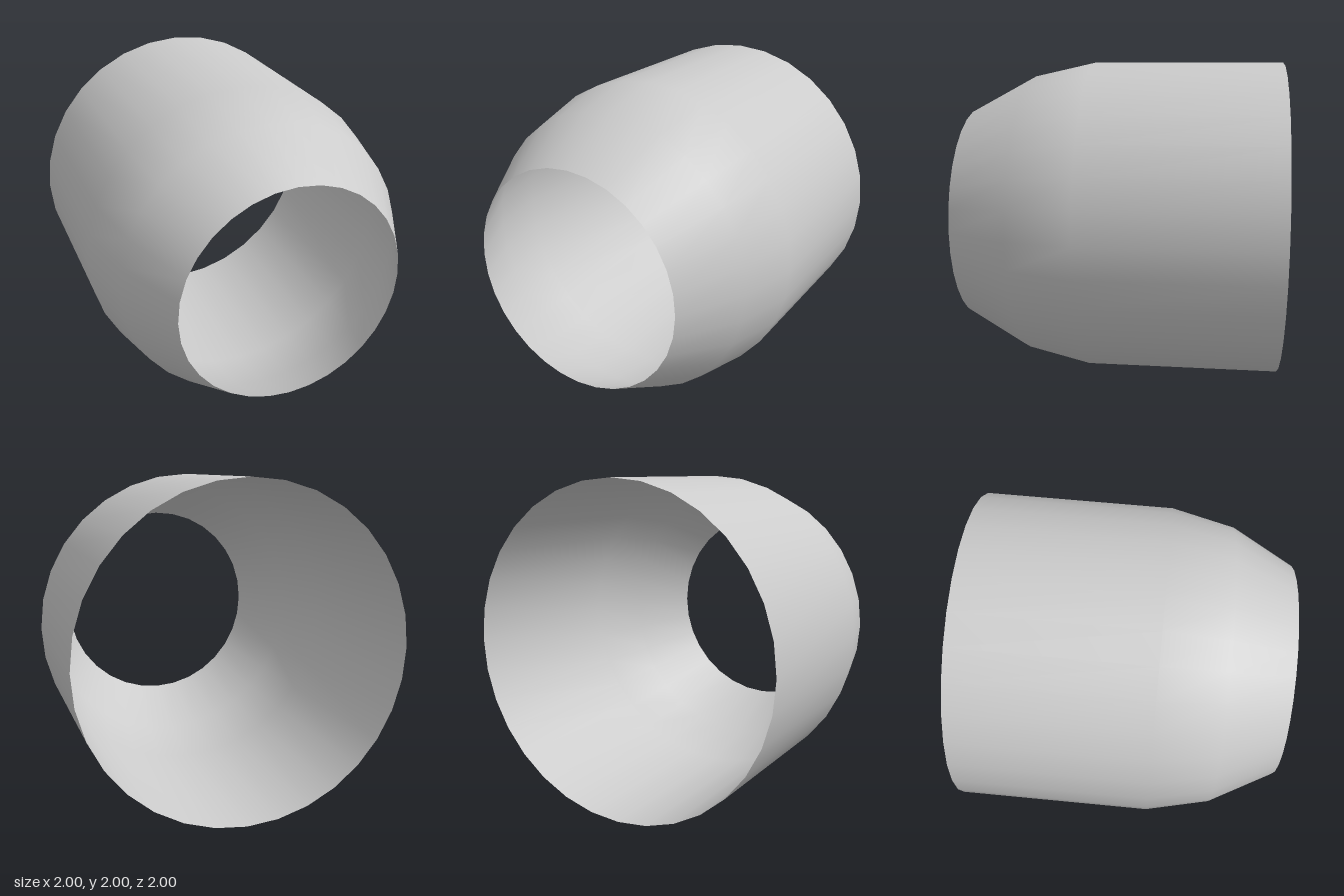
import * as THREE from 'three';

export function createModel() {
  const group = new THREE.Group();
  group.name = 'openShell';

  // Thin open sleeve: straight barrel from the back, tapering to a narrower front mouth
  const profile = [[1, -1], [1, 0.2], [0.91, 0.6], [0.695, 1]]
    .map(([radius, z]) => new THREE.Vector2(radius, z));
  const geometry = new THREE.LatheGeometry(profile, 32);
  geometry.rotateX(Math.PI / 2); // lathe axis onto z
  geometry.translate(0, 1, 0);

  const material = new THREE.MeshStandardMaterial({ color: 0xcccccc, side: THREE.DoubleSide });
  const sleeve = new THREE.Mesh(geometry, material);
  sleeve.name = 'taperedSleeve';
  group.add(sleeve);
  return group;
}
